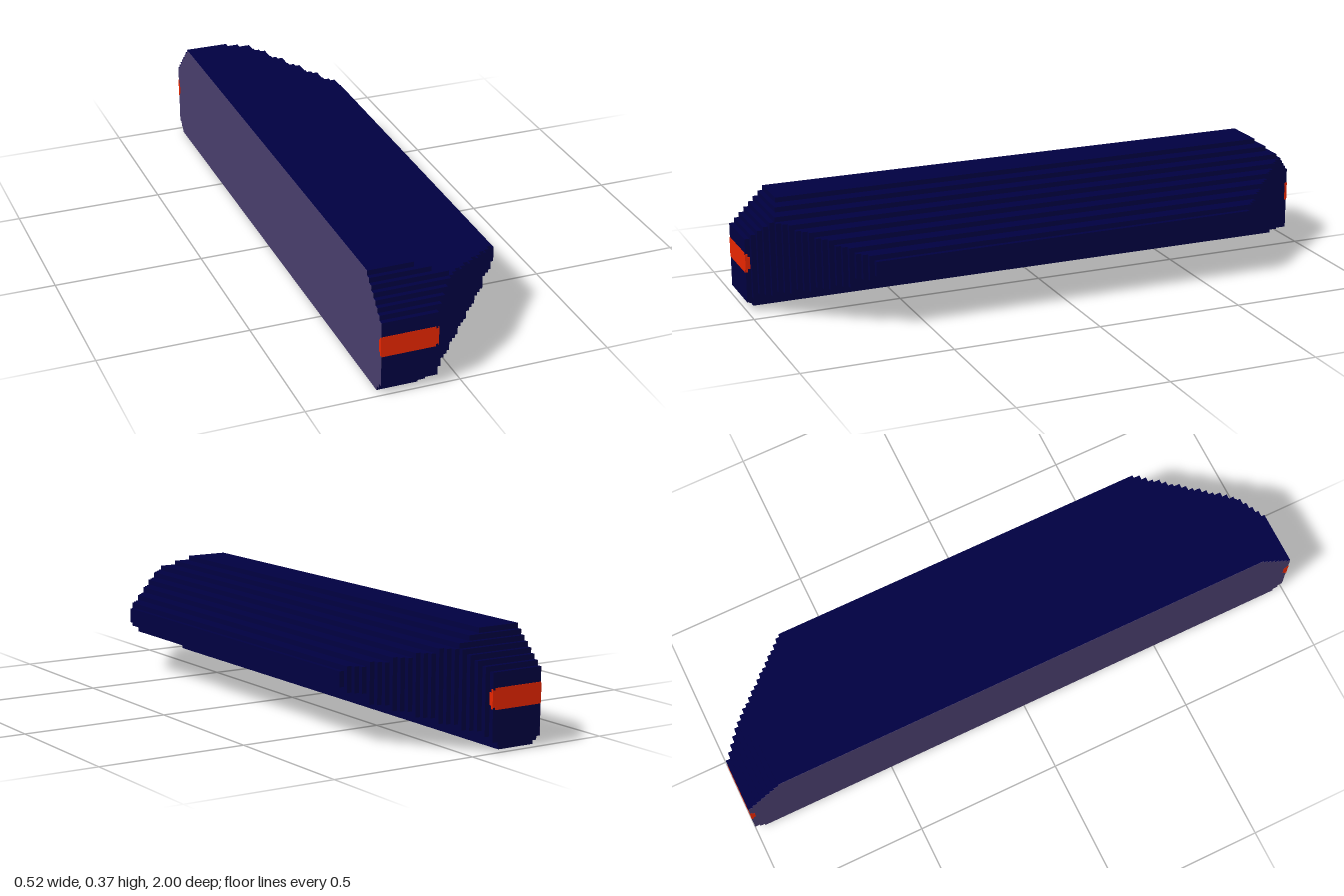
import * as THREE from 'three';
import { mergeGeometries } from 'three/addons/utils/BufferGeometryUtils.js';

const U = 1 / 60;          // one step of the grid
const X0 = -15.5 * U;      // flat side of the body
const X1 = X0 + 11 * U;    // edge of the end faces
// Width of each horizontal layer in steps, bottom to top
const WIDTHS = [8, 9, 11, 12, 15, 18, 21, 24, 27, 27, 30, 31, 31, 31, 30, 27, 24, 21, 18, 15, 12, 9];

const navy = new THREE.MeshStandardMaterial({ color: 0x000040 });
navy.name = 'navy';
const plum = new THREE.MeshStandardMaterial({ color: 0x483d6c });
plum.name = 'plumGrey';
const orange = new THREE.MeshStandardMaterial({ color: 0xe82600 });
orange.name = 'orangeRed';

// Half length of a layer in steps: chamfered at top and bottom
const halfLength = (row) => Math.min(60, 74 - row, 58 + row);

// Stepped trapezoid outline for one layer, extruded upward by one step
function layerGeometry(row) {
  const half = halfLength(row);
  const side = [];
  for (let i = 0; i < WIDTHS[row]; i++) {
    const h = Math.min(half, 70 - i) * U;
    const last = side[side.length - 1];
    if (last && last.h === h) last.end = i + 1;
    else side.push({ h, start: i, end: i + 1 });
  }
  const pts = [];
  for (const s of side) {
    pts.push(new THREE.Vector2(X0 + s.start * U, s.h), new THREE.Vector2(X0 + s.end * U, s.h));
  }
  const mirrored = pts.map((p) => new THREE.Vector2(p.x, -p.y)).reverse();
  const geo = new THREE.ExtrudeGeometry(new THREE.Shape([...pts, ...mirrored]), { depth: U, bevelEnabled: false });
  geo.rotateX(-Math.PI / 2);
  geo.translate(0, row * U, 0);
  return geo;
}

function box(x0, x1, y0, y1, z0, z1) {
  const geo = new THREE.BoxGeometry(x1 - x0, y1 - y0, z1 - z0);
  geo.translate((x0 + x1) / 2, (y0 + y1) / 2, (z0 + z1) / 2);
  return geo;
}

export function createModel() {
  const group = new THREE.Group();
  const add = (name, geos, material) => {
    const mesh = new THREE.Mesh(mergeGeometries(geos), material);
    mesh.name = name;
    group.add(mesh);
    return mesh;
  };

  // Stepped wedge body
  add('body', WIDTHS.map((w, row) => layerGeometry(row)), navy);

  // Thin facing on the flat long side
  add('sideFacing', WIDTHS.map((w, row) => {
    const h = halfLength(row) * U;
    return box(X0 - 0.001, X0, row * U, (row + 1) * U, -h, h);
  }), plum);

  // Thin strips on both ends, wrapping round the corners with a rounded tip
  for (const [name, turn] of [['frontStrip', 1], ['backStrip', -1]]) {
    const plates = [
      box(X0, -0.083, 0.134, 0.202, 1, 1.001),
      box(-0.083, X1, 0.142, 0.195, 1, 1.001),
    ];
    for (const x of [X0 - 0.002, X1]) {
      plates.push(
        box(x, x + 0.002, 0.137, 0.199, 0.993, 1.001),
        box(x, x + 0.002, 0.148, 0.188, 0.985, 0.993),
      );
    }
    // Same plates for the back, moved from z = +1 to z = -1
    if (turn < 0) plates.forEach((g) => {
      g.computeBoundingBox();
      const { min, max } = g.boundingBox;
      g.translate(0, 0, -min.z - max.z);
    });
    add(name, plates, orange);
  }
  return group;
}
